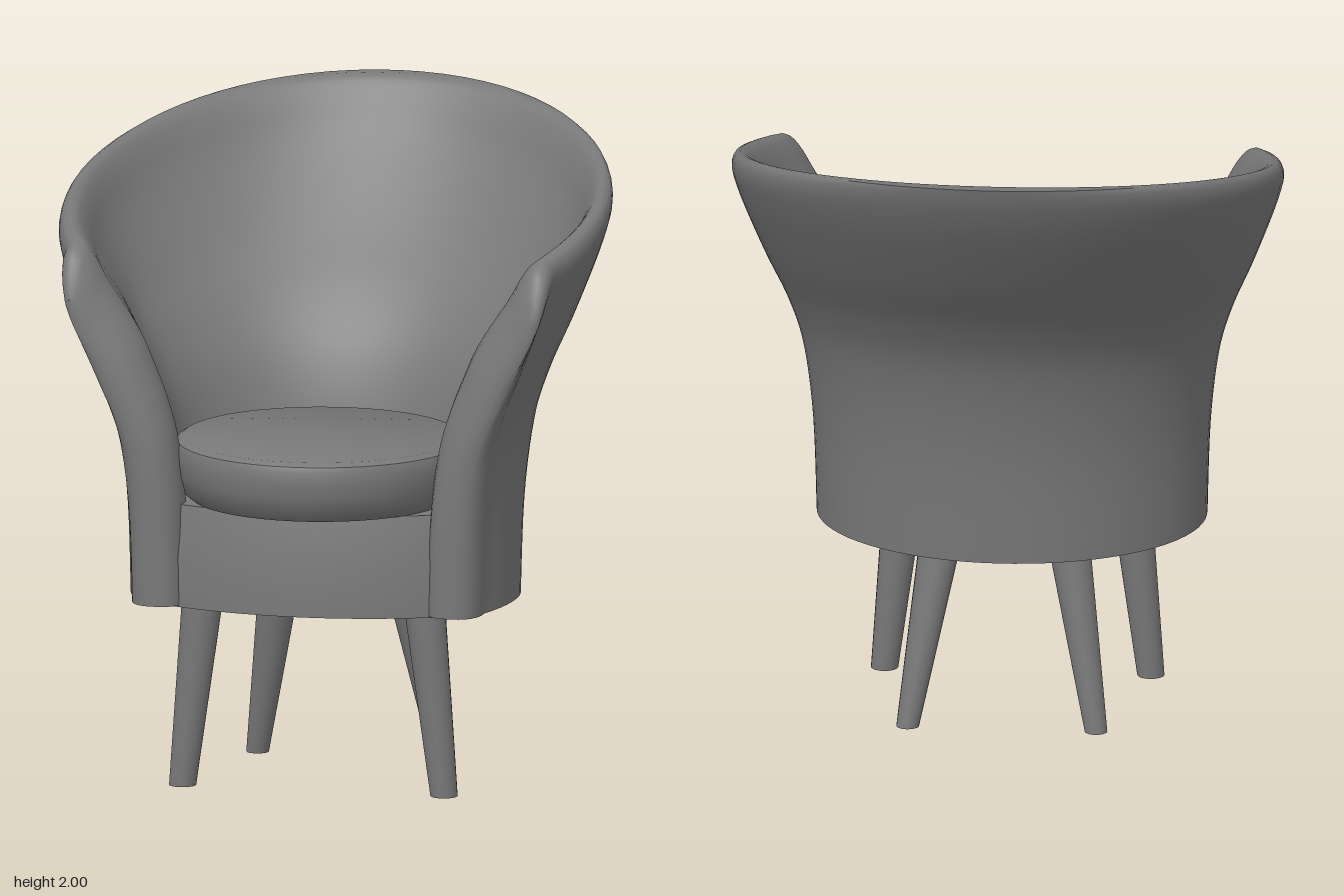
import * as THREE from 'three';
import { toCreasedNormals } from 'three/addons/utils/BufferGeometryUtils.js';

const { lerp, smoothstep, degToRad } = THREE.MathUtils;
const BASE_Y = 0.59;
const LIMIT = degToRad(115); // plan angle where the arm ends start to round over

// Flare of the shell: x = share of the way from base plan to rim plan, y = share of the height
const flare = new THREE.SplineCurve([
  [0, 0], [0.04, 0.25], [0.15, 0.45], [0.32, 0.58], [0.57, 0.71], [0.83, 0.86], [0.955, 0.95], [1, 1],
].map(([f, v]) => new THREE.Vector2(f, v))).getPoints(36);

// Closed cross-section at plan angle phi (0 = back, +-LIMIT = arm fronts).
// push moves it forward, and width squeezes it towards its middle to round the arm ends.
function shellSection(phi, push, width) {
  const side = Math.sign(phi) || 1;
  const a = Math.abs(phi);
  const quarter = Math.PI / 2;
  const b = Math.min(a, quarter);
  const past = Math.max(a - quarter, 0) / (LIMIT - quarter);
  const base = [0.6 * Math.sin(b) - 0.05 * past * past, 0.27 - 0.5 * Math.cos(b) + 0.255 * past];
  const rim = [0.86 * Math.sin(a), 0.13 - 0.93 * Math.cos(a)];
  const front = smoothstep(a, 1.4, LIMIT);

  const rimZ = rim[1] + push;
  const drop = 0.15 * Math.pow(Math.max(rimZ - 0.45, 0) / 0.19, 5);
  const topY = 1.71 + (0.5 - rimZ) * 0.223 - drop;

  const outer = [], inner = [];
  for (const { x: f, y: v } of flare) {
    const x = lerp(base[0], rim[0], f);
    const z = lerp(base[1], rim[1], f) + push;
    const y = lerp(BASE_Y, topY, v);
    const back = 0.165 - 0.085 * smoothstep(v, 0.3, 1);
    const arm = 0.175 - 0.075 * smoothstep(v, 0.7, 1);
    const thick = lerp(back, arm, front);
    // rounded rim; at the back its outer edge stays crisp
    const q = Math.min(Math.max((v - 0.93) / 0.07, 0), 1);
    const round = Math.sqrt(1 - q * q);
    const near = thick * (1 - width * lerp(1, round, smoothstep(a, 0, 1.3))) / 2;
    const far = thick * (1 + width * round) / 2;
    const nx = Math.sin(b), nz = -Math.cos(b);
    outer.push([side * (x - nx * near), y, z - nz * near]);
    inner.unshift([side * (x - nx * far), y, z - nz * far]);
  }
  return [...outer, ...inner];
}

// Wraparound back and arms, lofted through the sections
function shellGeometry() {
  const steps = 48, ends = [];
  for (let k = 1; k <= 6; k++) {
    const t = k * Math.PI / 12;
    ends.push([0.115 * Math.pow(Math.sin(t), 0.8), k === 6 ? 0 : Math.pow(Math.cos(t), 0.8)]);
  }
  const sections = [];
  for (const [push, width] of [...ends].reverse()) sections.push(shellSection(-LIMIT, push, width));
  for (let i = 0; i <= steps; i++) sections.push(shellSection(lerp(-LIMIT, LIMIT, i / steps), 0, 1));
  for (const [push, width] of ends) sections.push(shellSection(LIMIT, push, width));

  const n = sections[0].length, index = [];
  for (let j = 0; j < sections.length - 1; j++) {
    for (let i = 0; i < n; i++) {
      const a = j * n + i, b = j * n + (i + 1) % n;
      index.push(a, b, a + n, b, b + n, a + n);
    }
  }
  const geo = new THREE.BufferGeometry();
  geo.setAttribute('position', new THREE.Float32BufferAttribute(sections.flat(2), 3));
  geo.setIndex(index);
  return toCreasedNormals(geo, 1.1);
}

// Solid seat box with a bowed front that leans in under the cushion
function seatBaseGeometry() {
  const plan = new THREE.Shape();
  plan.moveTo(0.45, -0.58);
  plan.lineTo(0.52, -0.53);
  plan.lineTo(0.585, -0.27);
  plan.absellipse(0, -0.27, 0.585, 0.485, 0, Math.PI, false, 0);
  plan.lineTo(-0.52, -0.53);
  plan.lineTo(-0.45, -0.58);
  plan.quadraticCurveTo(0, -0.78, 0.45, -0.58);
  const geo = new THREE.ExtrudeGeometry(plan, { depth: 0.315, steps: 2, bevelEnabled: false, curveSegments: 24 });
  geo.rotateX(-Math.PI / 2).translate(0, 0.585, 0);
  const p = geo.attributes.position;
  for (let i = 0; i < p.count; i++) {
    if (p.getY(i) > 0.85 && p.getZ(i) > 0.5) p.setZ(i, p.getZ(i) - 0.03);
  }
  return toCreasedNormals(geo, 0.6);
}

// Tapered leg sheared sideways so its foot stays flat on the floor
function legGeometry(top, foot, rTop, rFoot) {
  const h = 0.62;
  const geo = new THREE.CylinderGeometry(rTop, rFoot, h, 20).translate(0, h / 2, 0);
  const p = geo.attributes.position;
  for (let i = 0; i < p.count; i++) {
    const t = p.getY(i) / h;
    p.setX(i, p.getX(i) + lerp(foot[0], top[0], t));
    p.setZ(i, p.getZ(i) + lerp(foot[1], top[1], t));
  }
  return toCreasedNormals(geo, 0.6);
}

export function createModel() {
  const group = new THREE.Group();
  group.name = 'tubChair';
  const material = new THREE.MeshStandardMaterial({ color: 0x787878 });
  const add = (name, geometry) => {
    const mesh = new THREE.Mesh(geometry, material);
    mesh.name = name;
    group.add(mesh);
    return mesh;
  };

  add('backAndArms', shellGeometry());
  add('seatBase', seatBaseGeometry());

  // Round cushion
  const profile = [
    [0, 0.895], [0.4, 0.9], [0.425, 0.92], [0.445, 0.98], [0.45, 1.02],
    [0.45, 1.06], [0.443, 1.078], [0.425, 1.09], [0, 1.09],
  ].map(([r, y]) => new THREE.Vector2(r, y));
  add('seatCushion', toCreasedNormals(new THREE.LatheGeometry(profile, 48), 0.6)).position.z = 0.35;

  // Splayed legs
  for (const s of [-1, 1]) {
    const side = s > 0 ? 'Left' : 'Right';
    add('front' + side + 'Leg', legGeometry([s * 0.345, 0.46], [s * 0.41, 0.465], 0.065, 0.042));
    add('back' + side + 'Leg', legGeometry([s * 0.19, 0.035], [s * 0.29, -0.075], 0.068, 0.035));
  }
  return group;
}
